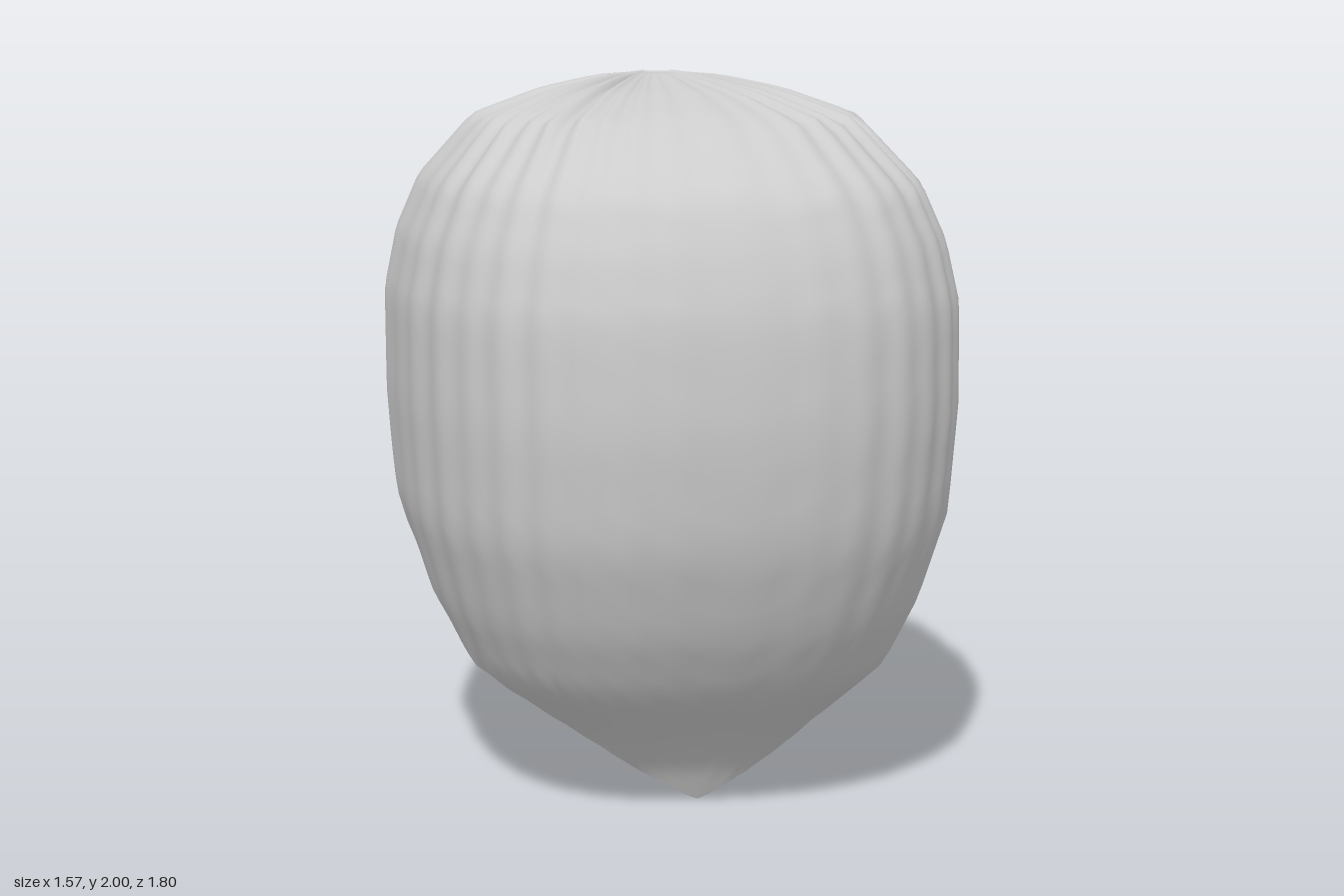
import * as THREE from 'three';

// Horizontal sections from crown to chin: height, half width, front z, back z
const SECTIONS = [
  [2.0, 0.04, -0.14, -0.16], [1.98, 0.16, 0.0, -0.25], [1.94, 0.34, 0.26, -0.41],
  [1.87, 0.53, 0.53, -0.6], [1.7, 0.68, 0.77, -0.81], [1.55, 0.745, 0.845, -0.88],
  [1.38, 0.78, 0.895, -0.905], [1.1, 0.78, 0.91, -0.89], [0.8, 0.76, 0.875, -0.84],
  [0.55, 0.69, 0.78, -0.75], [0.37, 0.614, 0.67, -0.65], [0.2, 0.427, 0.51, -0.5],
  [0.1, 0.34, 0.43, -0.4], [0, 0.25, 0.38, -0.3],
];

// Rim height by angle from the front, in degrees
const RIM = [
  [0, 0], [25, 0.1], [44, 0.2], [58, 0.29], [72, 0.37], [84, 0.56], [90, 0.68], [97.5, 0.77],
  [110.5, 0.93], [123, 1.08], [136, 1.17], [156, 1.3], [180, 1.34],
];

function rimHeight(deg) {
  let i = 0;
  while (i < RIM.length - 2 && deg > RIM[i + 1][0]) i++;
  const [a0, y0] = RIM[i], [a1, y1] = RIM[i + 1];
  return y0 + (y1 - y0) * (deg - a0) / (a1 - a0);
}

// Fractional section index at a given height
function sectionAt(y) {
  let i = 0;
  while (i < SECTIONS.length - 2 && y < SECTIONS[i + 1][0]) i++;
  return i + (SECTIONS[i][0] - y) / (SECTIONS[i][0] - SECTIONS[i + 1][0]);
}

function sample(s, column) {
  const i = Math.min(Math.floor(s), SECTIONS.length - 2);
  return THREE.MathUtils.lerp(SECTIONS[i][column], SECTIONS[i + 1][column], s - i);
}

const power = (v) => Math.sign(v) * Math.pow(Math.abs(v), 2 / 2.6);

// Irregular gathered pleats, calmer over the middle of the front
function pleat(a) {
  const calm = THREE.MathUtils.smoothstep(Math.abs(a), 0.15, 0.8);
  const wave = Math.sin(38 * a + 1.4 * Math.sin(3 * a + 0.5)) + 0.5 * Math.sin(23 * a + 1);
  return wave * (0.25 + 0.75 * calm);
}

function shellPoint(a, v) {
  const end = sectionAt(rimHeight(Math.abs(a) * 180 / Math.PI));
  const s = v * end;
  const [y, width, front, back] = [0, 1, 2, 3].map((c) => sample(s, c));
  const centre = THREE.MathUtils.lerp(-0.15, -0.1, Math.min(s / 3, 1));
  const c = power(Math.cos(a));
  const depth = c > 0 ? front - centre : centre - back;

  // Pleats push outward on the walls and upward on the crown; the rim tucks in
  const p = pleat(a);
  const side = THREE.MathUtils.smoothstep(s, 1, 4);
  const crown = THREE.MathUtils.smoothstep(s, 0, 1.5) * (1 - THREE.MathUtils.smoothstep(s, 2.5, 5));
  const tuck = 0.03 * THREE.MathUtils.smoothstep(v, 0.9, 1) * THREE.MathUtils.smoothstep(Math.abs(a), 1.4, 2.2);
  const scale = 1 + 0.008 * p * side * (1 - 0.6 * v) - tuck;
  return [
    width * power(Math.sin(a)) * scale,
    y + 0.009 * p * crown - (s < 0.01 ? 0.02 * Math.abs(Math.cos(a)) : 0),
    centre + depth * c * scale,
  ];
}

export function createModel() {
  const COLUMNS = 240, ROWS = 40;
  const positions = [], indices = [];
  for (let r = 0; r <= ROWS; r++) {
    for (let k = 0; k < COLUMNS; k++) {
      positions.push(...shellPoint((k / COLUMNS) * Math.PI * 2 - Math.PI, r / ROWS));
    }
  }
  for (let r = 0; r < ROWS; r++) {
    for (let k = 0; k < COLUMNS; k++) {
      const next = (k + 1) % COLUMNS;
      const a = r * COLUMNS + k, b = r * COLUMNS + next;
      const c = a + COLUMNS, d = b + COLUMNS;
      indices.push(a, c, b, b, c, d);
    }
  }
  // Close the small gather at the crown
  const apex = positions.length / 3;
  positions.push(0, 1.975, -0.15);
  for (let k = 0; k < COLUMNS; k++) indices.push(apex, k, (k + 1) % COLUMNS);

  const geometry = new THREE.BufferGeometry();
  geometry.setAttribute('position', new THREE.Float32BufferAttribute(positions, 3));
  geometry.setIndex(indices);
  geometry.computeVertexNormals();

  const cloth = new THREE.MeshStandardMaterial({ color: 0xcccccc, side: THREE.DoubleSide });
  cloth.name = 'light grey cloth';
  const shell = new THREE.Mesh(geometry, cloth);
  shell.name = 'pleatedShell';

  const model = new THREE.Group();
  model.name = 'pleatedHood';
  model.add(shell);
  return model;
}
